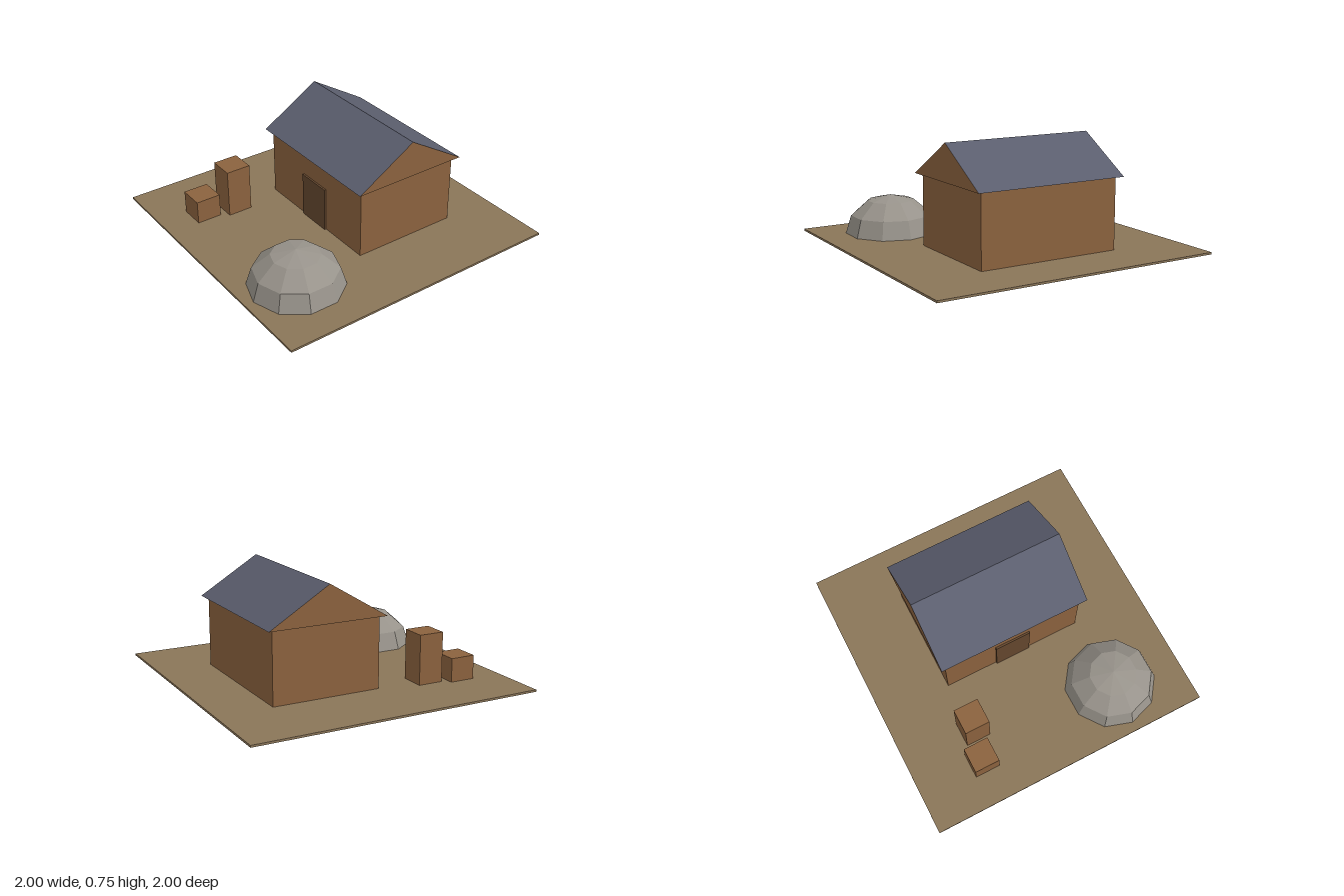
import * as THREE from 'three';

const mat = (name, color, extra = {}) => {
  const m = new THREE.MeshStandardMaterial({ color, ...extra });
  m.name = name;
  return m;
};

export function createModel() {
  const model = new THREE.Group();
  const earth = mat('earth', 0x8a7558);
  const wood = mat('wood', 0x8b623e);
  const darkWood = mat('darkWood', 0x64472e);
  const slate = mat('slate', 0x5b5e6e);
  const stone = mat('stone', 0x98938b, { flatShading: true, side: THREE.DoubleSide });

  const add = (name, geometry, material) => {
    const mesh = new THREE.Mesh(geometry, material);
    mesh.name = name;
    model.add(mesh);
    return mesh;
  };
  // Box given by its lowest and highest corners
  const box = (name, material, [x0, y0, z0], [x1, y1, z1]) =>
    add(name, new THREE.BoxGeometry(x1 - x0, y1 - y0, z1 - z0), material)
      .position.set((x0 + x1) / 2, (y0 + y1) / 2, (z0 + z1) / 2);

  // Ground slab, its underside a hair above the bases of the buildings
  box('ground', earth, [-1, 0.001, -1], [1, 0.015, 1]);

  // House body and door
  box('houseWalls', wood, [-0.5, 0, -0.625], [0.5, 0.5, 0.125]);
  box('door', darkWood, [-0.128, 0.002, 0.12], [0.125, 0.327, 0.138]);

  // Gabled roof: wooden end triangles, slate slopes and underside
  const gable = new THREE.Shape([
    new THREE.Vector2(-0.413, 0.5),
    new THREE.Vector2(0.413, 0.5),
    new THREE.Vector2(0, 0.75),
  ]);
  const roof = new THREE.ExtrudeGeometry(gable, { depth: 1.074, bevelEnabled: false });
  roof.rotateY(Math.PI / 2);
  roof.translate(-0.537, 0, -0.25);
  add('roof', roof, [wood, slate]);

  // Crates
  box('tallCrate', wood, [-0.573, 0, 0.39], [-0.4, 0.352, 0.563]);
  box('lowCrate', wood, [-0.618, 0, 0.61], [-0.443, 0.176, 0.783]);

  // Ten-sided stone dome, slightly flattened
  const dome = new THREE.SphereGeometry(0.32, 10, 3, 0, Math.PI * 2, 0, Math.PI / 2);
  dome.rotateY(Math.PI / 2);
  dome.scale(1, 0.86, 1);
  add('stoneDome', dome, stone).position.set(0.5, 0.001, 0.624);

  return model;
}
